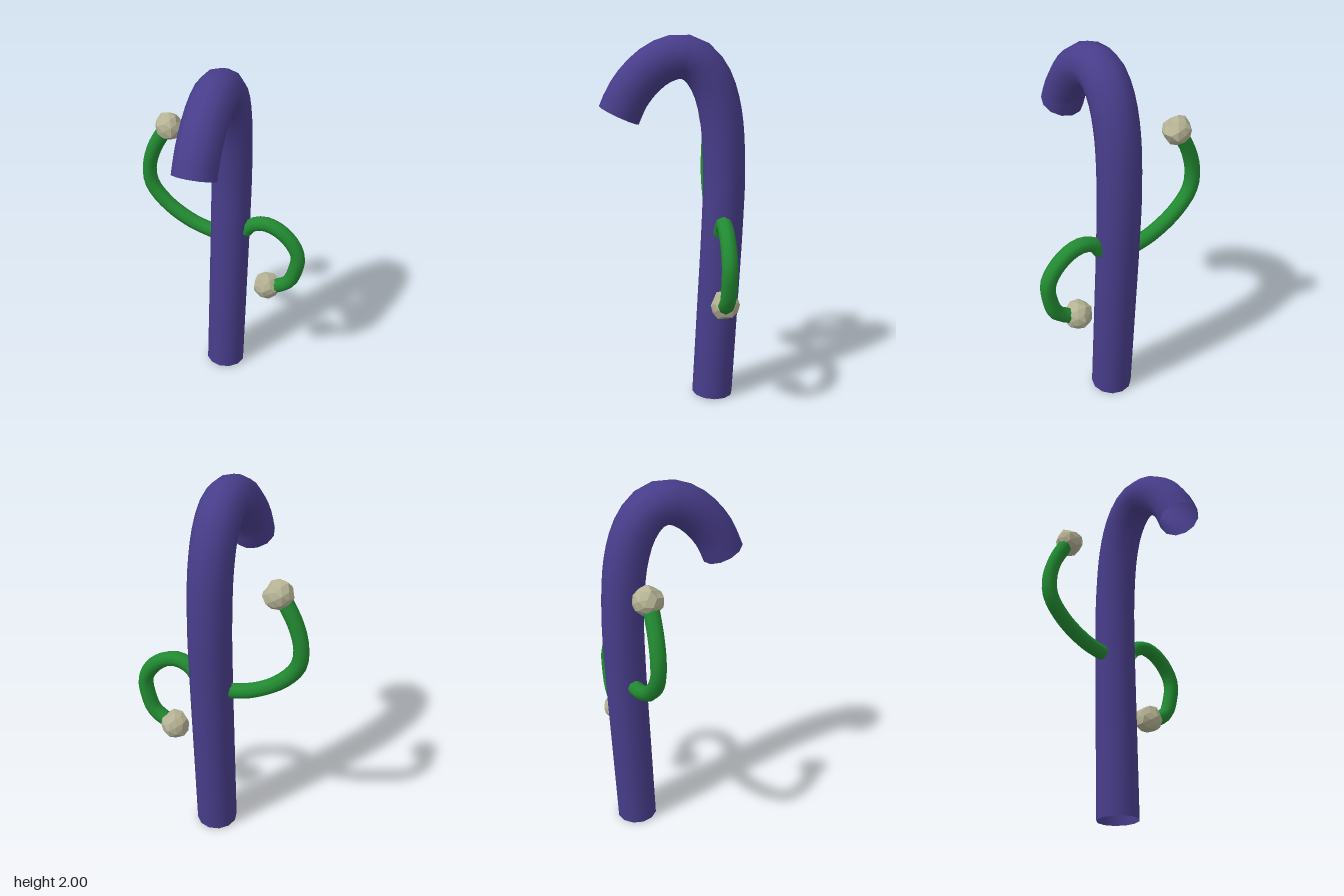
import * as THREE from 'three';

const V = (x, y, z) => new THREE.Vector3(x, y, z);

// Smooth open tube through a few points
function tube(name, points, segments, radius, sides, color) {
  const curve = new THREE.CatmullRomCurve3(points);
  const mesh = new THREE.Mesh(
    new THREE.TubeGeometry(curve, segments, radius, sides, false),
    new THREE.MeshStandardMaterial({ color, side: THREE.DoubleSide })
  );
  mesh.name = name;
  return mesh;
}

// Rough faceted lump: each corner is pushed in or out by a fixed rule
function lump(name, x, y, z, phase) {
  const geometry = new THREE.IcosahedronGeometry(1, 1);
  const pos = geometry.attributes.position;
  const v = new THREE.Vector3();
  for (let i = 0; i < pos.count; i++) {
    v.fromBufferAttribute(pos, i);
    const wobble = Math.sin(v.x * 9.1 + phase) * Math.cos(v.y * 7.3 - phase) + Math.sin(v.z * 8.7 + phase * 2);
    v.multiplyScalar(0.077 + 0.005 * wobble);
    pos.setXYZ(i, v.x, v.y, v.z);
  }
  geometry.computeVertexNormals();
  const mesh = new THREE.Mesh(geometry, new THREE.MeshStandardMaterial({ color: 0xb5b294, flatShading: true }));
  mesh.position.set(x, y, z);
  mesh.name = name;
  return mesh;
}

export function createModel() {
  const group = new THREE.Group();
  group.name = 'hookedStalk';

  // Main stalk, bending forward into a hook
  const stalk = [
    [0, -0.225], [0.5, -0.248], [1, -0.27], [1.3, -0.275], [1.6, -0.25], [1.77, -0.195],
    [1.86, -0.12], [1.886, -0.04], [1.86, 0.06], [1.79, 0.155], [1.69, 0.235], [1.587, 0.283]
  ].map(([y, z]) => V(0.035, y, z));
  group.add(tube('stalk', stalk, 40, 0.114, 12, 0x483d8b));

  // Side tendrils
  const tendrilZ = -0.25;
  const rightTendril = [
    [-0.062, 0.918], [-0.19, 0.955], [-0.34, 1.045], [-0.435, 1.16], [-0.447, 1.27], [-0.415, 1.39], [-0.345, 1.52]
  ];
  const leftTendril = [
    [0.13, 0.965], [0.165, 1.01], [0.24, 1.036], [0.32, 1.015], [0.4, 0.95],
    [0.445, 0.865], [0.438, 0.77], [0.4, 0.67], [0.3, 0.605]
  ];
  const at = ([x, y]) => V(x, y, tendrilZ);
  group.add(tube('rightTendril', rightTendril.map(at), 20, 0.042, 8, 0x228b32));
  group.add(tube('leftTendril', leftTendril.map(at), 20, 0.042, 8, 0x228b32));

  // Lumps at the tendril tips
  group.add(lump('rightLump', -0.325, 1.537, -0.255, 0.6));
  group.add(lump('leftLump', 0.273, 0.607, -0.255, 2.1));

  return group;
}
